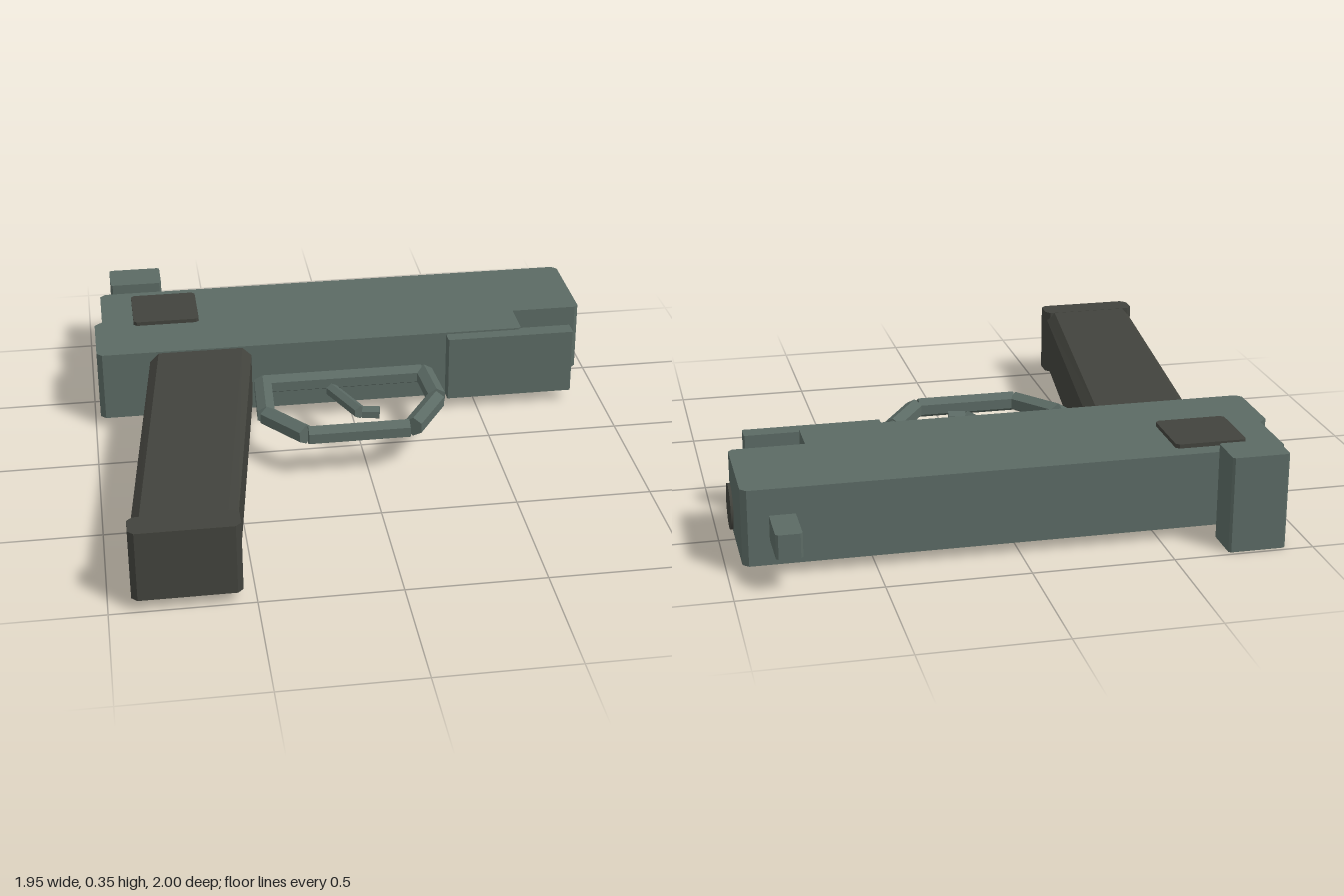
import * as THREE from 'three';

const green = new THREE.MeshStandardMaterial({ color: 0x5b6a64 });
green.name = 'grey green';
const dark = new THREE.MeshStandardMaterial({ color: 0x42433d });
dark.name = 'dark olive';

export function createModel() {
  const model = new THREE.Group();
  const midY = 0.177;

  const add = (name, geometry, material) => {
    const mesh = new THREE.Mesh(geometry, material);
    mesh.name = name;
    model.add(mesh);
    return mesh;
  };

  // Upright prism from a plan outline of [x, z] points
  const prism = (points, y0, y1) => {
    const shape = new THREE.Shape(points.map(([x, z]) => new THREE.Vector2(x, -z)));
    return new THREE.ExtrudeGeometry(shape, { depth: y1 - y0, bevelEnabled: false })
      .rotateX(-Math.PI / 2).translate(0, y0, 0);
  };

  // Rectangle outline with cut corners
  const cutRect = (x0, x1, z0, z1, c) => [
    [x0 + c, z0], [x1 - c, z0], [x1, z0 + c], [x1, z1 - c],
    [x1 - c, z1], [x0 + c, z1], [x0, z1 - c], [x0, z0 + c],
  ];

  // Six-sided rod between two [x, z] points, with a ridge on top
  const rod = (name, [ax, az], [bx, bz], radius) => {
    const dx = bx - ax, dz = bz - az;
    const g = new THREE.CylinderGeometry(radius, radius, Math.hypot(dx, dz), 6).toNonIndexed();
    g.computeVertexNormals();
    g.rotateX(-Math.PI / 2).rotateY(Math.atan2(-dx, -dz));
    g.translate((ax + bx) / 2, midY, (az + bz) / 2);
    add(name, g, green);
  };

  // Main body: stepped outline with small cut corners
  add('body', prism([
    [-0.95, -0.81], [-0.93, -0.83], [0.93, -0.83], [0.95, -0.81],
    [0.95, -0.455], [0.935, -0.44], [0.68, -0.44], [0.68, -0.295],
    [0.67, -0.285], [-0.96, -0.285], [-0.98, -0.305], [-0.98, -0.55], [-0.95, -0.577],
  ], 0.04, 0.312), green);
  add('frontRail', prism(cutRect(0.38, 0.878, -0.298, -0.234, 0.003), 0.047, 0.305), green);

  // Sights
  add('rearSight', prism(cutRect(-0.905, -0.7, -0.985, -0.838, 0.008), 0, 0.347), green);
  add('frontSight', prism(cutRect(0.768, 0.858, -1, -0.825, 0.008), 0.132, 0.218), green);

  // Side panels and bore disc
  const panel = cutRect(-0.827, -0.57, -0.77, -0.525, 0.012);
  add('upperPanel', prism(panel, 0.31, 0.327), dark);
  add('lowerPanel', prism(panel, 0.024, 0.042), dark);
  const disc = add('boreDisc', new THREE.CylinderGeometry(0.08, 0.08, 0.009, 24), dark);
  disc.rotation.z = Math.PI / 2;
  disc.position.set(0.967, midY, -0.622);

  // Grip: cut-corner section swept along z, leaning back and narrowing
  const z0 = -0.29, length = 1.2;
  const section = new THREE.Shape(
    cutRect(-0.777, -0.386, 0.046, 0.306, 0.034).map(([x, y]) => new THREE.Vector2(x, y)));
  const grip = new THREE.ExtrudeGeometry(section, { depth: length, bevelEnabled: false });
  const pos = grip.attributes.position;
  for (let i = 0; i < pos.count; i++) {
    const t = pos.getZ(i) / length;
    const across = (pos.getX(i) + 0.777) / 0.391;
    pos.setX(i, pos.getX(i) - t * (0.133 + 0.031 * across));
    pos.setZ(i, pos.getZ(i) + z0);
  }
  grip.computeVertexNormals();
  add('grip', grip, dark);
  add('gripBase', prism([
    [-0.9, 0.895], [-0.56, 0.895], [-0.545, 0.915], [-0.545, 0.98], [-0.565, 1],
    [-0.9, 1], [-0.92, 0.98], [-0.92, 0.915],
  ], 0.045, 0.307), dark);

  // Trigger guard and trigger
  const guard = [
    [[-0.35, -0.219], [0.27, -0.219]],
    [[-0.352, -0.22], [-0.365, 0.033]],
    [[-0.363, 0.035], [-0.235, 0.2]],
    [[-0.228, 0.207], [0.15, 0.207]],
    [[0.166, 0.2], [0.288, 0.005]],
    [[0.28, -0.218], [0.293, -0.012]],
  ];
  guard.forEach(([a, b]) => rod('triggerGuard', a, b, 0.038));
  rod('trigger', [-0.095, -0.135], [-0.012, 0.06], 0.026);
  rod('triggerTip', [-0.004, 0.06], [0.06, 0.072], 0.026);

  return model;
}
